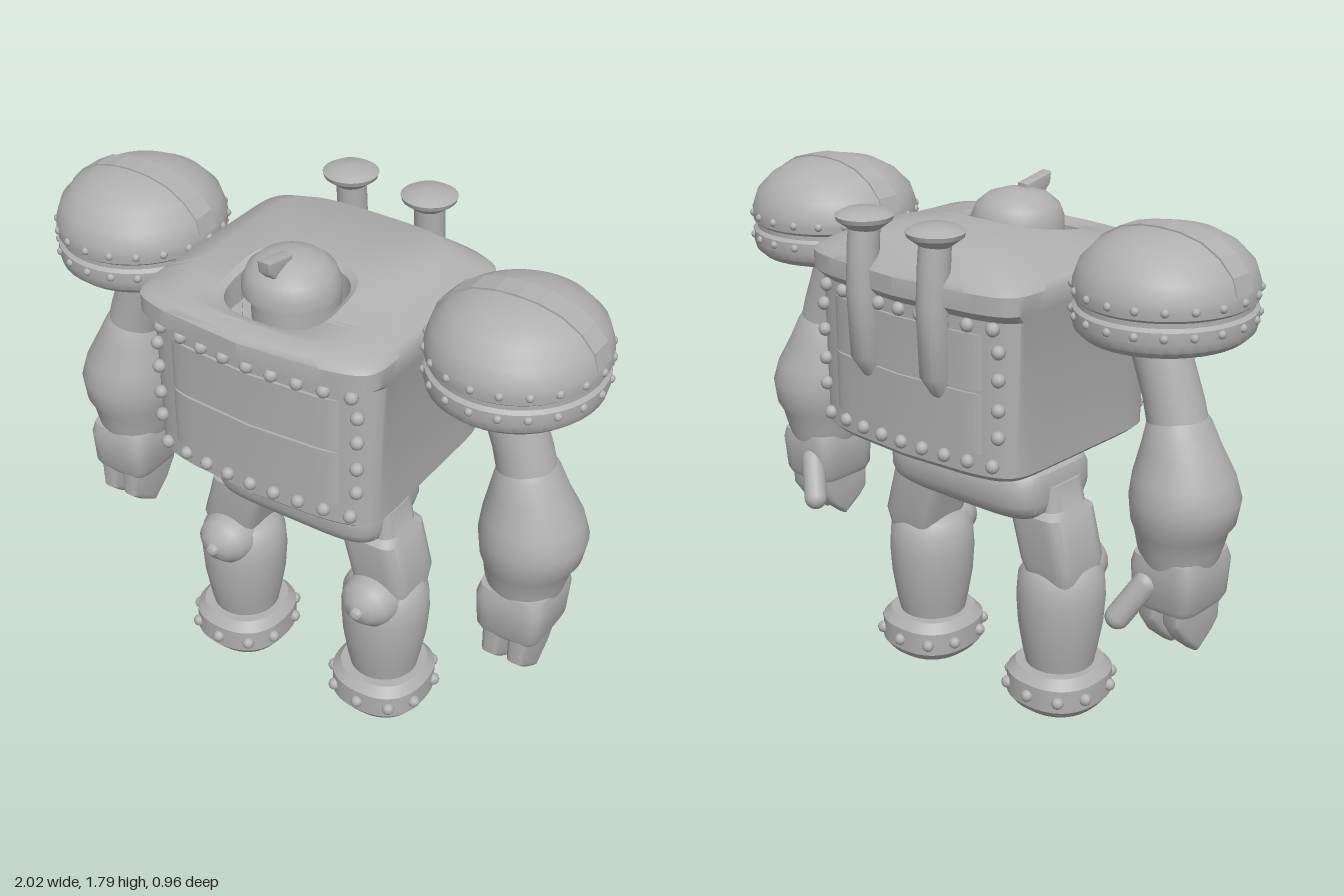
import * as THREE from 'three';
import { toCreasedNormals } from 'three/addons/utils/BufferGeometryUtils.js';

const grey = new THREE.MeshStandardMaterial({ color: 0xb0b0b0 });
grey.name = 'plain grey';

const spow = (v, e) => Math.sign(v) * Math.pow(Math.abs(v), e);

// Skin through horizontal superellipse rings, listed in order along the skin.
// ring: [y, cx, cz, halfWidth, halfDepth, squareness, bulge front/back, slope along z]
function loft(rings, { n = 48, crease = 0.65 } = {}) {
  const first = [...rings[0]], last = [...rings[rings.length - 1]];
  for (const r of [first, last]) { r[3] = r[4] = 0.0001; r[6] = 0; }
  const all = [first, ...rings, last];
  const pos = [], idx = [];
  for (const [y, cx, cz, hw, hd, p = 2, bulge = 0, slope = 0] of all) {
    for (let i = 0; i < n; i++) {
      const a = (i / n) * Math.PI * 2;
      const x = hw * spow(Math.cos(a), 2 / p);
      const s = spow(Math.sin(a), 2 / p);
      const z = cz + hd * s + bulge * s * (1 - (x / 0.45) ** 2);
      pos.push(cx + x, y + slope * z, z);
    }
  }
  for (let j = 0; j < all.length - 1; j++) {
    for (let i = 0; i < n; i++) {
      const a = j * n + i, b = j * n + (i + 1) % n;
      idx.push(a, a + n, b, b, a + n, b + n);
    }
  }
  const g = new THREE.BufferGeometry();
  g.setAttribute('position', new THREE.Float32BufferAttribute(pos, 3));
  g.setIndex(idx);
  return toCreasedNormals(g, crease);
}

function lathe(points, start = 0, length = Math.PI * 2, segs = 40) {
  const pts = points.map(([r, y]) => new THREE.Vector2(r, y));
  return toCreasedNormals(new THREE.LatheGeometry(pts, segs, start, length), 0.6);
}

// Side outline given as [z, y], given a thickness along x and centred on cx
function sidePlate(points, thickness, cx, bevel = 0) {
  const shape = new THREE.Shape(points.map(([z, y]) => new THREE.Vector2(-z, y)));
  const g = new THREE.ExtrudeGeometry(shape, {
    depth: thickness - 2 * bevel, bevelEnabled: bevel > 0, bevelSize: bevel,
    bevelThickness: bevel, bevelOffset: -bevel, bevelSegments: 3,
  });
  g.translate(0, 0, -thickness / 2 + bevel);
  g.rotateY(Math.PI / 2);
  return toCreasedNormals(g.translate(cx, 0, 0), 0.7);
}

function add(parent, name, geometry) {
  const m = new THREE.Mesh(geometry, grey);
  m.name = name;
  parent.add(m);
  return m;
}

const rivetGeo = new THREE.SphereGeometry(1, 10, 8);
function rivet(parent, x, y, z, r = 0.02) {
  const m = add(parent, 'rivet', rivetGeo);
  m.position.set(x, y, z);
  m.scale.setScalar(r);
}

function group(parent, name) {
  const g = new THREE.Group();
  g.name = name;
  parent.add(g);
  return g;
}

function buildTorso(root) {
  const g = group(root, 'torso');
  // Boiler box, lip, domed roof and the sunken cockpit well
  add(g, 'body', loft([
    [0.97, 0, 0.015, 0.41, 0.335, 10, 0.055],
    [0.99, 0, 0.015, 0.432, 0.355, 10, 0.055],
    [1.50, 0, 0.015, 0.44, 0.355, 10, 0.055],
    [1.53, 0, 0.025, 0.45, 0.395, 12, 0.058],
    [1.59, 0, 0.025, 0.45, 0.395, 12, 0.058],
    [1.61, 0, 0.025, 0.435, 0.38, 10, 0.055],
    [1.655, 0, 0.05, 0.33, 0.34, 5, 0.02, -0.07],
    [1.685, 0, 0.205, 0.205, 0.178, 3, 0, -0.17],
    [1.67, 0, 0.205, 0.185, 0.16, 3, 0, -0.17],
    [1.54, 0, 0.205, 0.18, 0.155, 3],
  ], { n: 96 }));
  // Upper and lower wall panels, front and back
  for (const [a, b] of [[1.06, 1.262], [1.274, 1.455]])
    add(g, 'panel', loft([[a, 0, 0.015, 0.345, 0.364, 14, 0.055], [b, 0, 0.015, 0.345, 0.364, 14, 0.055]], { n: 96 }));
  // Rivet borders
  for (const s of [1, -1]) {
    const put = (x, y) => rivet(g, x, y, 0.015 + s * (0.358 + 0.055 * (1 - (x / 0.45) ** 2)), 0.023);
    for (const x of [-0.36, -0.27, -0.18, -0.09, 0, 0.09, 0.18, 0.27, 0.36]) { put(x, 1.48); put(x, 1.03); }
    for (const x of [-0.38, 0.38]) for (const y of [1.13, 1.22, 1.32, 1.41]) put(x, y);
  }
  // Exhaust stacks
  for (const x of [-0.152, 0.152]) {
    add(g, 'exhaustPipe', loft([
      [1.22, x, -0.375, 0.03, 0.02], [1.29, x, -0.395, 0.05, 0.05], [1.52, x, -0.405, 0.052, 0.052],
      [1.66, x, -0.395, 0.05, 0.055], [1.73, x, -0.388, 0.05, 0.052],
    ], { n: 24 }));
    add(g, 'exhaustCap', lathe([[0, 1.71], [0.05, 1.71], [0.09, 1.74], [0.095, 1.755], [0.07, 1.77], [0, 1.778]], 0, Math.PI * 2, 24))
      .position.set(x, 0, -0.387);
  }
}

function buildHead(root) {
  const g = group(root, 'head');
  g.position.z = 0.18;
  add(g, 'helmetDome', lathe([[0.125, 1.635], [0.157, 1.635], [0.156, 1.67], [0.14, 1.71], [0.105, 1.74], [0.055, 1.757], [0, 1.762]]));
  add(g, 'helmetSides', lathe([[0.125, 1.53], [0.155, 1.53], [0.157, 1.636], [0.125, 1.636]], 0.8, Math.PI * 2 - 1.6));
  add(g, 'face', lathe([[0, 1.53], [0.128, 1.53], [0.128, 1.64], [0, 1.64]]));
  add(root, 'helmetCrest', sidePlate([[0.2, 1.72], [0.2, 1.772], [0.33, 1.795], [0.325, 1.755], [0.3, 1.73], [0.27, 1.7]], 0.045, 0, 0.008));
}

function buildHips(root) {
  const g = group(root, 'hips');
  add(g, 'waist', loft([
    [0.89, 0, 0.035, 0.2, 0.18, 4], [0.925, 0, 0.035, 0.21, 0.2, 4],
    [0.93, 0, 0.035, 0.25, 0.24, 4], [0.98, 0, 0.035, 0.28, 0.255, 4],
  ]));
  add(g, 'pelvis', loft([
    [0.73, 0, 0.035, 0.295, 0.16, 5], [0.755, 0, 0.035, 0.322, 0.19, 5], [0.79, 0, 0.035, 0.33, 0.205, 5],
    [0.86, 0, 0.035, 0.33, 0.205, 5], [0.89, 0, 0.035, 0.322, 0.19, 5], [0.91, 0, 0.035, 0.295, 0.16, 5],
  ]));
}

function buildLeg(root, s) {
  const g = group(root, s > 0 ? 'leftLeg' : 'rightLeg');
  const x = s * 0.304, z = 0.068;
  add(g, 'thigh', loft([
    [0.48, s * 0.325, 0.05, 0.095, 0.1, 4], [0.56, s * 0.317, 0.05, 0.108, 0.12, 5],
    [0.73, s * 0.27, 0.05, 0.11, 0.12, 5], [0.75, s * 0.265, 0.05, 0.095, 0.1, 4], [0.84, s * 0.25, 0.05, 0.09, 0.1, 4],
  ]));
  add(g, 'shin', loft([
    [0.12, x, z, 0.115, 0.115], [0.2, x, z, 0.13, 0.135], [0.3, x, z, 0.148, 0.15], [0.4, x, z, 0.155, 0.156],
    [0.48, x, z, 0.15, 0.15], [0.53, x, z, 0.125, 0.125], [0.55, x, z, 0.09, 0.09],
  ]));
  // Knee cap with a collar and a blunt spike
  const knee = add(g, 'kneeCap', lathe([[0, -0.06], [0.1, -0.06], [0.106, 0.0], [0.09, 0.045], [0.055, 0.078], [0.025, 0.088], [0.018, 0.105], [0, 0.112]], 0, Math.PI * 2, 28));
  knee.rotation.x = Math.PI / 2;
  knee.position.set(x, 0.495, 0.17);
  knee.scale.z = 0.9;
  add(g, 'foot', loft([
    [0, x, z, 0.15, 0.155, 2.4], [0.03, x, z, 0.173, 0.178, 2.4],
    [0.115, x, z, 0.173, 0.178, 2.4], [0.148, x, z, 0.145, 0.15, 2.4],
  ]));
  for (let i = 0; i < 10; i++) {
    const a = (i / 10) * Math.PI * 2 + Math.PI / 2;
    rivet(g, x + 0.176 * spow(Math.cos(a), 2 / 2.4), 0.072, z + 0.18 * spow(Math.sin(a), 2 / 2.4), 0.022);
  }
}

function buildArm(root, s) {
  const g = group(root, s > 0 ? 'leftArm' : 'rightArm');
  // Shoulder dome with two riveted bands and a strap across the crown
  const shoulder = group(g, 'shoulder');
  shoulder.position.set(s * 0.717, 0, 0.027);
  shoulder.scale.z = 1.055;
  const crown = [[0.28, 1.625], [0.262, 1.68], [0.215, 1.73], [0.15, 1.767], [0.075, 1.785], [0, 1.79]];
  add(shoulder, 'shoulderDome', lathe([
    [0, 1.48], [0.2, 1.465], [0.25, 1.458], [0.274, 1.48], [0.281, 1.51], [0.28, 1.545], [0.268, 1.555],
    [0.268, 1.57], [0.28, 1.58], [0.282, 1.605], ...crown]));
  const outline = [...crown, ...crown.slice(0, -1).reverse().map(([x, y]) => [-x, y])];
  const strap = new THREE.Shape(outline.map(([x, y]) => new THREE.Vector2(x, y + 0.004)));
  add(shoulder, 'shoulderStrap', new THREE.ExtrudeGeometry(strap, { depth: 0.08, bevelEnabled: false }).translate(0, 0, -0.04));
  for (let i = 0; i < 20; i++) {
    const a = (i / 20) * Math.PI * 2;
    for (const y of [1.527, 1.605]) rivet(shoulder, 0.278 * Math.cos(a), y, 0.278 * Math.sin(a), 0.014);
  }
  add(g, 'upperArm', loft([[1.14, s * 0.79, 0.03, 0.098, 0.1], [1.25, s * 0.76, 0.03, 0.098, 0.094], [1.5, s * 0.665, 0.03, 0.1, 0.088]]));
  add(g, 'forearm', loft([
    [0.72, s * 0.812, 0.03, 0.12, 0.13], [0.77, s * 0.812, 0.03, 0.135, 0.145], [0.83, s * 0.815, 0.028, 0.148, 0.158],
    [0.86, s * 0.82, 0.028, 0.165, 0.172], [0.94, s * 0.822, 0.028, 0.177, 0.179], [1.01, s * 0.815, 0.028, 0.163, 0.163],
    [1.1, s * 0.8, 0.03, 0.13, 0.125], [1.18, s * 0.787, 0.03, 0.1, 0.105], [1.2, s * 0.785, 0.03, 0.09, 0.09],
  ]));
  add(g, 'palm', loft([
    [0.565, s * 0.812, 0.04, 0.105, 0.12, 5], [0.59, s * 0.812, 0.04, 0.118, 0.132, 5],
    [0.71, s * 0.812, 0.038, 0.125, 0.14, 5], [0.75, s * 0.812, 0.035, 0.115, 0.13, 5],
  ]));
  for (const x of [0.764, 0.858])
    add(g, 'finger', sidePlate([[0.165, 0.6], [0.162, 0.48], [0.125, 0.445], [0.05, 0.395], [-0.03, 0.46], [-0.08, 0.53], [-0.08, 0.6]], 0.07, s * x, 0.022));
  // Thumb on the inner rear of the palm
  const from = new THREE.Vector3(s * 0.765, 0.655, -0.085), to = new THREE.Vector3(s * 0.7, 0.535, -0.14);
  const dir = to.clone().sub(from);
  const thumb = add(g, 'thumb', new THREE.CapsuleGeometry(0.042, dir.length(), 6, 16));
  thumb.position.copy(from).add(to).multiplyScalar(0.5);
  thumb.quaternion.setFromUnitVectors(new THREE.Vector3(0, 1, 0), dir.normalize());
}

export function createModel() {
  const root = new THREE.Group();
  root.name = 'boilerRobot';
  buildTorso(root);
  buildHead(root);
  buildHips(root);
  for (const s of [1, -1]) {
    buildLeg(root, s);
    buildArm(root, s);
  }
  return root;
}
